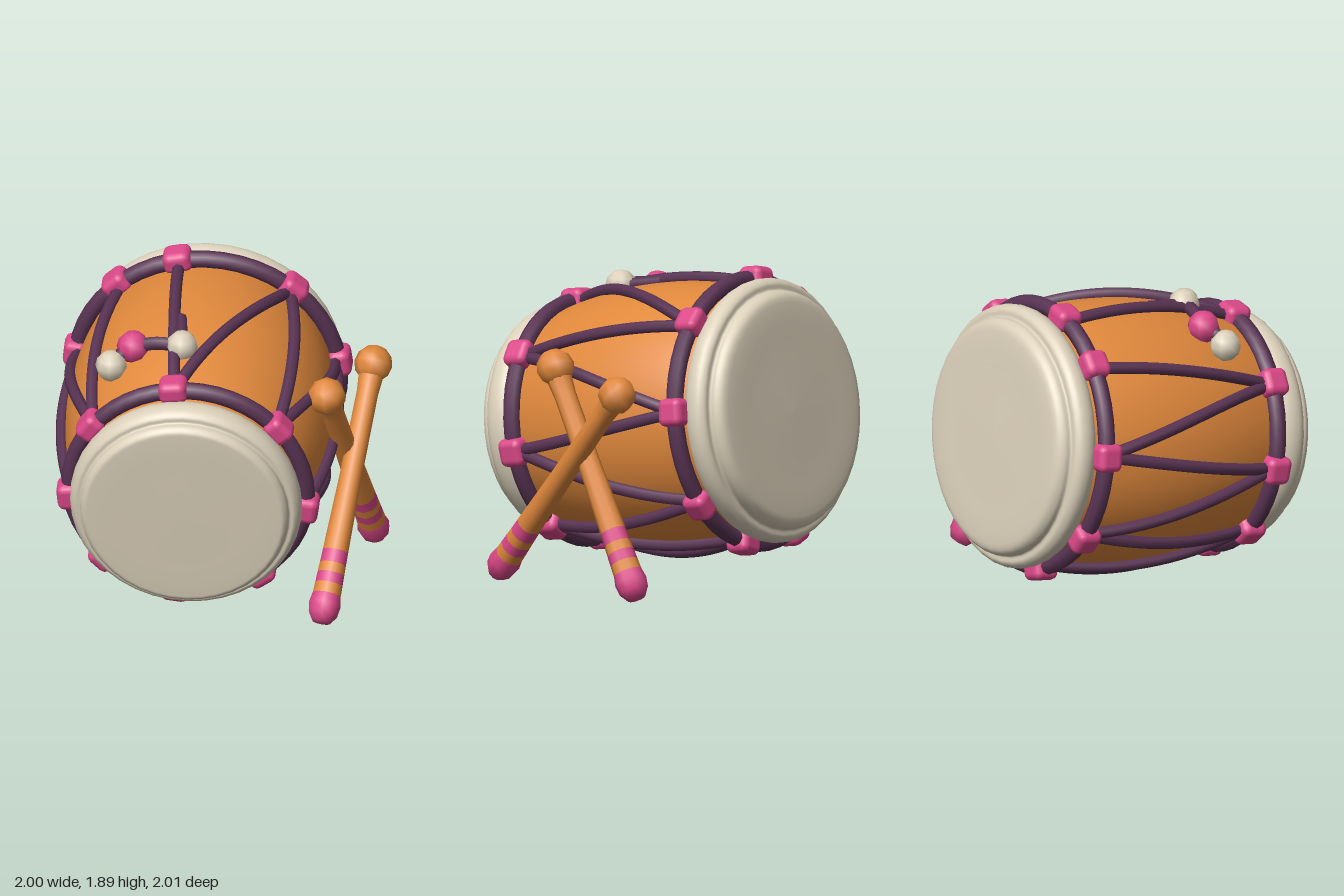
import * as THREE from 'three';
import { RoundedBoxGeometry } from 'three/addons/geometries/RoundedBoxGeometry.js';

const material = (name, color) => {
  const m = new THREE.MeshStandardMaterial({ color });
  m.name = name;
  return m;
};

export function createModel() {
  const wood = material('orange wood', 0xe0883c);
  const skin = material('cream skin', 0xdbd0ba);
  const rope = material('purple rope', 0x5a3454);
  const pink = material('pink trim', 0xdb4888);

  const model = new THREE.Group();
  model.name = 'drumWithSticks';
  const drum = new THREE.Group();
  drum.name = 'drum';
  drum.position.set(-0.115, 0.95, -0.02);
  drum.rotation.set(0.14, 0.045, 0);
  model.add(drum);

  const add = (parent, name, geometry, mat) => {
    const mesh = new THREE.Mesh(geometry, mat);
    mesh.name = name;
    parent.add(mesh);
    return mesh;
  };
  const rad = THREE.MathUtils.degToRad;
  const V = (x, y, z) => new THREE.Vector3(x, y, z);
  // Lathe around the drum's z axis from [radius, z] pairs
  const lathe = (pairs, sides = 40) =>
    new THREE.LatheGeometry(pairs.map(([r, z]) => new THREE.Vector2(r, z)), sides).rotateX(Math.PI / 2);

  // Barrel shell
  const shellRadius = (s) => 0.795 - 0.21 * (s + 0.1) ** 2;
  const shell = [];
  for (let i = 0; i <= 16; i++) {
    const s = -0.76 + (1.56 * i) / 16;
    shell.push([shellRadius(s), s]);
  }
  add(drum, 'shell', lathe(shell, 48), wood);

  // Drum heads with their stepped, padded rims
  const smoothProfile = (pairs) =>
    new THREE.CatmullRomCurve3(pairs.map(([r, z]) => V(r, z, 0)), false, 'centripetal')
      .getPoints(40).map((p) => [Math.max(p.x, 0), p.y]);
  add(drum, 'frontHead', lathe(smoothProfile([
    [0.6, 0.69], [0.66, 0.71], [0.69, 0.77], [0.685, 0.84], [0.655, 0.88], [0.625, 0.885],
    [0.62, 0.92], [0.595, 0.95], [0.56, 0.955], [0.3, 0.958], [0, 0.96],
  ])), skin);
  add(drum, 'backHead', lathe(smoothProfile([
    [0, -0.91], [0.35, -0.905], [0.64, -0.9], [0.685, -0.885], [0.71, -0.85], [0.715, -0.815],
    [0.755, -0.81], [0.785, -0.775], [0.785, -0.72], [0.75, -0.665], [0.68, -0.645],
  ])), skin);

  // Rope rings and knots
  const ends = {
    front: { s: 0.66, r: 0.705, angles: [96, 40, -8, -54, -97, -136, -175, -217] },
    back: { s: -0.61, r: 0.785, angles: [102, 49, 7, -37, -72, -108, -146, -187, -228] },
  };
  for (const [side, e] of Object.entries(ends)) {
    add(drum, side + 'RopeRing', new THREE.TorusGeometry(e.r, 0.052, 8, 48), rope).position.z = e.s;
    for (const a of e.angles) {
      const knot = add(drum, side + 'Knot', new RoundedBoxGeometry(0.135, 0.17, 0.165, 2, 0.045), pink);
      knot.position.set((e.r + 0.012) * Math.cos(rad(a)), (e.r + 0.012) * Math.sin(rad(a)), e.s);
      knot.rotation.z = rad(a);
    }
  }

  // Zigzag lacing that hugs the shell
  const lace = (frontAngle, backAngle) => {
    const points = [];
    for (let i = 0; i <= 10; i++) {
      const t = i / 10;
      const s = THREE.MathUtils.lerp(ends.front.s, ends.back.s, t);
      const a = rad(THREE.MathUtils.lerp(frontAngle, backAngle, t));
      const r = shellRadius(s) + 0.02;
      points.push(V(r * Math.cos(a), r * Math.sin(a), s));
    }
    add(drum, 'lacing', new THREE.TubeGeometry(new THREE.CatmullRomCurve3(points), 24, 0.037, 7), rope);
  };
  ends.front.angles.forEach((a, i) => {
    lace(a, ends.back.angles[i]);
    lace(a, ends.back.angles[i + 1]);
  });

  // Rope tie with a pink knot and two cream beads
  const tie = new THREE.Group();
  tie.name = 'ropeTie';
  model.add(tie);
  const ball = (parent, name, p, r, mat) =>
    add(parent, name, new THREE.SphereGeometry(r, 8, 6), mat).position.copy(p);
  const tieKnot = V(-0.455, 1.64, 0.36);
  const beads = [V(-0.575, 1.545, 0.44), V(-0.155, 1.685, 0.4)];
  ball(tie, 'tieKnot', tieKnot, 0.098, pink);
  for (const bead of beads) {
    ball(tie, 'bead', bead, 0.095, skin);
    const mid = tieKnot.clone().lerp(bead, 0.5).add(V(0, 0.02, 0));
    add(tie, 'tieCord', new THREE.TubeGeometry(
      new THREE.CatmullRomCurve3([tieKnot, mid, bead]), 8, 0.04, 7), rope);
  }
  add(tie, 'tieCord', new THREE.TubeGeometry(
    new THREE.CatmullRomCurve3([beads[1], V(-0.17, 1.7, 0.3), V(-0.2, 1.73, 0.12)]), 8, 0.036, 7), rope);

  // Crossed sticks, built upward from the tip of the grip
  const stick = (name, tip, head) => {
    const g = new THREE.Group();
    g.name = name;
    const along = head.clone().sub(tip);
    const length = along.length();
    g.position.copy(tip);
    g.quaternion.setFromUnitVectors(V(0, 1, 0), along.normalize());
    const turned = (part, pairs, mat) => add(g, part,
      new THREE.LatheGeometry(pairs.map(([r, y]) => new THREE.Vector2(r, y)), 10), mat);
    turned('gripEnd', [[0, -0.01], [0.055, 0], [0.088, 0.05], [0.097, 0.11], [0.086, 0.17]], pink);
    const bands = [0.17, 0.235, 0.3, 0.36, 0.44];
    for (let i = 0; i < 4; i++) {
      turned('gripBand', [[0.086 - i * 0.002, bands[i]], [0.084 - i * 0.002, bands[i + 1]]], i % 2 ? pink : wood);
    }
    turned('shaft', [[0.078, 0.44], [0.068, 0.9], [0.066, length - 0.18], [0.075, length - 0.08]], wood);
    const bulb = add(g, 'stickHead', new THREE.SphereGeometry(0.115, 8, 6), wood);
    bulb.position.y = length;
    model.add(g);
  };
  stick('innerStick', V(0.88, 0.035, -0.55), V(0.69, 1.32, 0.22));
  stick('outerStick', V(0.715, 0.035, 0.65), V(0.88, 1.245, -0.4));

  return model;
}
